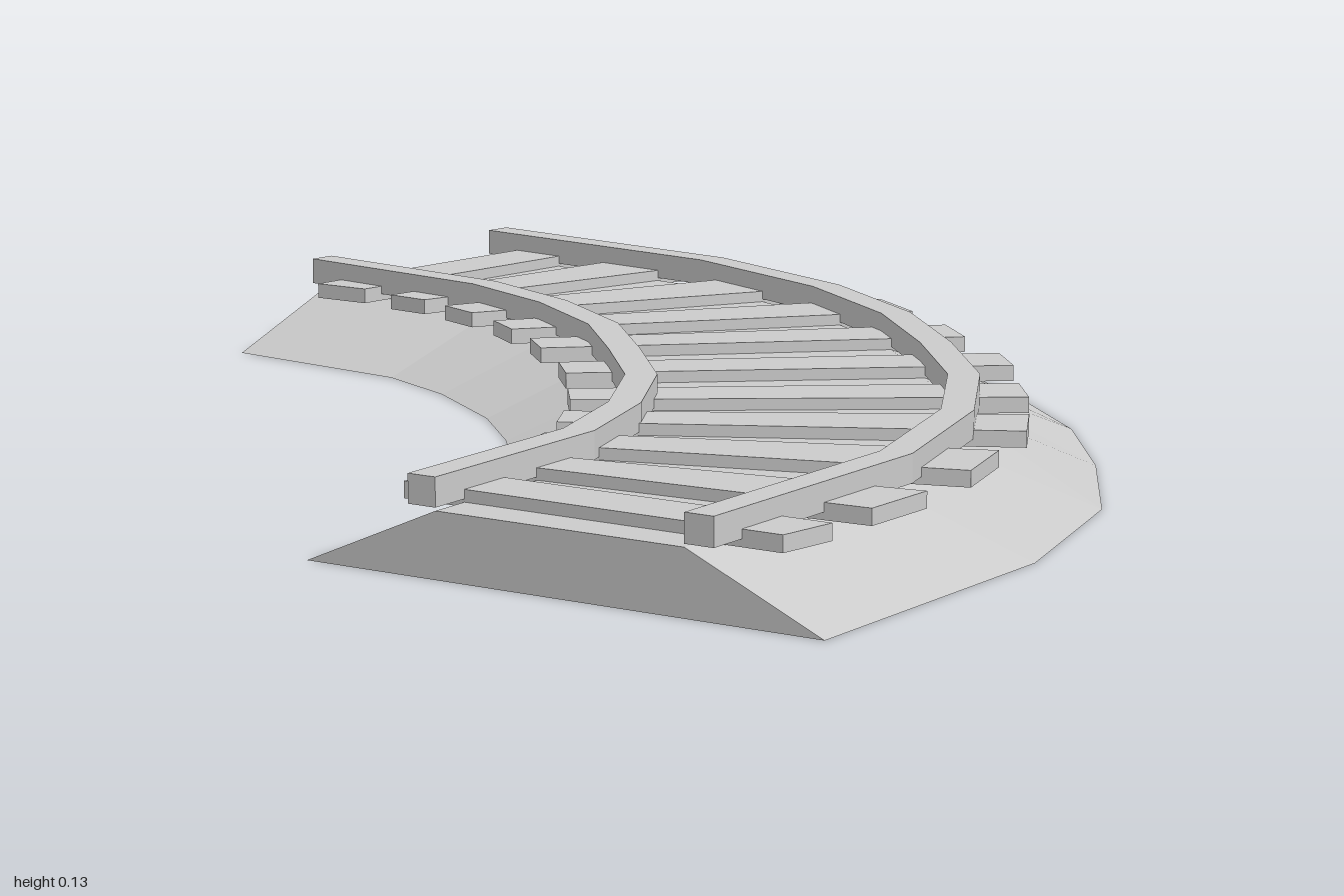
import * as THREE from 'three';

const material = new THREE.MeshStandardMaterial({ color: 0xcccccc, flatShading: true });
const shellMaterial = new THREE.MeshStandardMaterial({ color: 0xcccccc, flatShading: true, side: THREE.DoubleSide });

const RAIL_WIDTH = 0.044;
const BED_HEIGHT = 0.086;

// The bend is symmetric about its diagonal: half of each [x, z] path is given,
// ending on the diagonal, and the rest is mirrored.
const mirrorPoint = ([x, z]) => [-z, -x];
const mirrorPath = (half) => [...half, ...half.slice(0, -1).reverse().map(mirrorPoint)];

const bedOuter = mirrorPath([[-1, -1], [-0.46, -0.925], [-0.1, -0.785], [0.17, -0.595], [0.4, -0.4]]);
const bedInner = mirrorPath([[-1, -0.2], [-0.66, -0.157], [-0.5, -0.085], [-0.31, 0.04], [-0.168, 0.168]]);
const outerRailPath = mirrorPath([[-1, -0.838], [-0.505, -0.77], [-0.185, -0.64], [0.065, -0.475], [0.277, -0.277]]);
const innerRailPath = mirrorPath([[-1, -0.41], [-0.615, -0.35], [-0.405, -0.26], [-0.205, -0.13], [-0.035, 0.035]]);

// Moves a path towards the inside of the bend, keeping its ends square to the module
function offsetInward(path, distance) {
  const last = path.length - 1;
  return path.map(([x, z], i) => {
    if (i === 0) return [x, z + distance];
    if (i === last) return [x - distance, z];
    const dx = path[i + 1][0] - path[i - 1][0];
    const dz = path[i + 1][1] - path[i - 1][1];
    const length = Math.hypot(dx, dz);
    return [x - (dz / length) * distance, z + (dx / length) * distance];
  });
}

// Upright prism from an [x, z] outline
function prism(name, outline, bottom, top) {
  const shape = new THREE.Shape(outline.map(([x, z]) => new THREE.Vector2(x, -z)));
  const geometry = new THREE.ExtrudeGeometry(shape, { depth: top - bottom, bevelEnabled: false });
  geometry.rotateX(-Math.PI / 2).translate(0, bottom, 0);
  const mesh = new THREE.Mesh(geometry, material);
  mesh.name = name;
  return mesh;
}

function rail(name, path) {
  return prism(name, [...path, ...offsetInward(path, RAIL_WIDTH).reverse()], 0.09, 0.128);
}

// Gravel bed: sloped sides, flat top, closed ends, open underneath
function gravelBed() {
  const topOuter = offsetInward(outerRailPath, RAIL_WIDTH);
  const positions = [];
  const index = [];
  const stations = bedOuter.length;
  for (let i = 0; i < stations; i++) {
    const section = [[bedOuter[i], 0], [topOuter[i], BED_HEIGHT], [innerRailPath[i], BED_HEIGHT], [bedInner[i], 0]];
    for (const [[x, z], y] of section) positions.push(x, y, z);
  }
  for (let i = 0; i < stations - 1; i++) {
    for (let j = 0; j < 3; j++) {
      const a = i * 4 + j, b = a + 1, c = a + 4, d = a + 5;
      index.push(a, b, c, b, d, c);
    }
  }
  const e = (stations - 1) * 4;
  index.push(0, 2, 1, 0, 3, 2, e, e + 1, e + 2, e, e + 2, e + 3);
  const indexed = new THREE.BufferGeometry();
  indexed.setAttribute('position', new THREE.Float32BufferAttribute(positions, 3));
  indexed.setIndex(index);
  const geometry = indexed.toNonIndexed();
  geometry.computeVertexNormals();
  const mesh = new THREE.Mesh(geometry, shellMaterial);
  mesh.name = 'gravelBed';
  return mesh;
}

// Sleeper tapering between its inner and outer ends
function sleeper(inner, outer, innerWidth, outerWidth) {
  const dx = outer[0] - inner[0], dz = outer[1] - inner[1];
  const length = Math.hypot(dx, dz);
  const corner = ([x, z], side) => [x - (dz / length) * side, z + (dx / length) * side];
  return prism('sleeper', [
    corner(inner, -innerWidth / 2), corner(outer, -outerWidth / 2),
    corner(outer, outerWidth / 2), corner(inner, innerWidth / 2),
  ], 0.08, 0.102);
}

// Inner end, outer end, inner width, outer width; the last lies on the diagonal
const sleeperHalf = [
  [[-0.885, -0.302], [-0.885, -0.89], 0.095, 0.098],
  [[-0.728, -0.275], [-0.66, -0.862], 0.075, 0.138],
  [[-0.588, -0.228], [-0.368, -0.785], 0.085, 0.155],
  [[-0.435, -0.147], [-0.097, -0.665], 0.09, 0.135],
  [[-0.285, -0.04], [0.122, -0.508], 0.095, 0.12],
  [[-0.112, 0.112], [0.333, -0.333], 0.1, 0.115],
];

export function createModel() {
  const model = new THREE.Group();
  model.name = 'curvedTrack';
  model.add(gravelBed(), rail('outerRail', outerRailPath), rail('innerRail', innerRailPath));

  const sleepers = new THREE.Group();
  sleepers.name = 'sleepers';
  sleeperHalf.forEach(([inner, outer, innerWidth, outerWidth], i) => {
    sleepers.add(sleeper(inner, outer, innerWidth, outerWidth));
    if (i < sleeperHalf.length - 1) {
      sleepers.add(sleeper(mirrorPoint(inner), mirrorPoint(outer), innerWidth, outerWidth));
    }
  });
  model.add(sleepers);
  return model;
}
